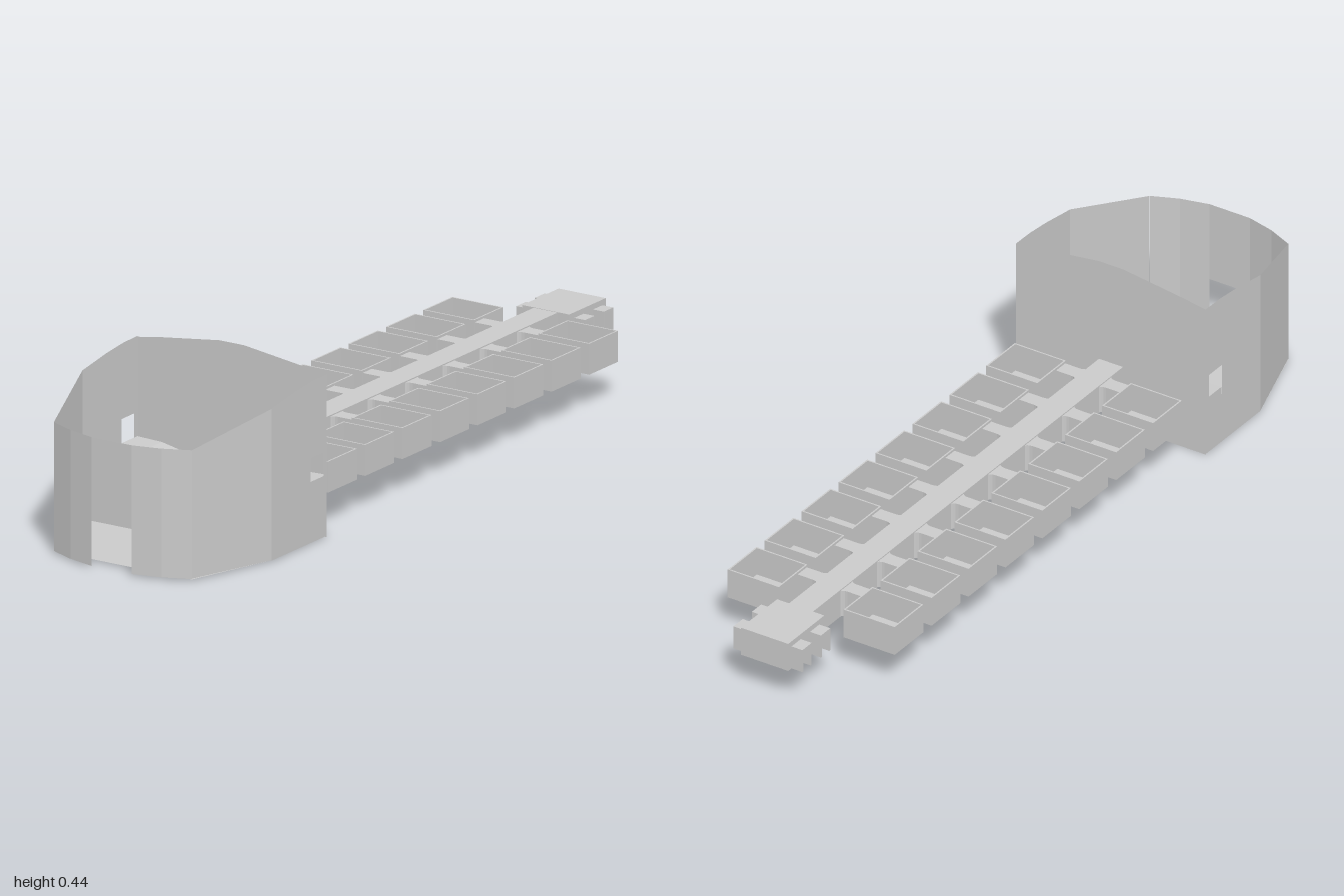
import * as THREE from 'three';

const mat = new THREE.MeshStandardMaterial({ color: 0xcccccc, side: THREE.DoubleSide, flatShading: true });

function add(parent, name, geo, x = 0, y = 0, z = 0) {
  const m = new THREE.Mesh(geo, mat);
  m.name = name;
  m.position.set(x, y, z);
  parent.add(m);
  return m;
}

// box given by its min and max corners
function box(parent, name, x0, x1, y0, y1, z0, z1) {
  return add(parent, name, new THREE.BoxGeometry(x1 - x0, y1 - y0, z1 - z0),
    (x0 + x1) / 2, (y0 + y1) / 2, (z0 + z1) / 2);
}

const shapeOf = pts => new THREE.Shape(pts.map(p => new THREE.Vector2(...p)));

// upright thin panel standing on the plan line a -> b ([x, z]); u runs along it, v is height
function panel(parent, name, a, b, pts, holes = []) {
  const s = shapeOf(pts);
  holes.forEach(h => s.holes.push(new THREE.Path(h.map(p => new THREE.Vector2(...p)))));
  const dir = new THREE.Vector3(b[0] - a[0], 0, b[1] - a[1]).normalize();
  const up = new THREE.Vector3(0, 1, 0);
  const basis = new THREE.Matrix4().makeBasis(dir, up, dir.clone().cross(up)).setPosition(a[0], 0, a[1]);
  add(parent, name, new THREE.ShapeGeometry(s).applyMatrix4(basis));
}

function buildBin() {
  const bin = new THREE.Group();
  bin.name = 'bin';
  const zb = 0.487;

  // back wall with a low peak and a tunnel mouth
  panel(bin, 'backWall', [0, zb], [1, zb], [
    [-0.27, 0], [-0.05, 0], [-0.045, 0.09], [0.045, 0.09], [0.05, 0], [0.27, 0],
    [0.27, 0.402], [0.21, 0.412], [0.035, 0.435], [-0.035, 0.435], [-0.21, 0.412], [-0.27, 0.402]]);

  // side walls, each with a window and an angled front half
  for (const s of [-1, 1]) {
    const len = Math.hypot(0.07, 0.23);
    panel(bin, 'sideWall', [s * 0.27, zb], [s * 0.27, 1],
      [[0, 0.003], [0.233, 0.003], [0.233, 0.38], [0.13, 0.396], [0.06, 0.403], [0, 0.404]],
      [[[0.013, 0.135], [0.068, 0.135], [0.068, 0.215], [0.013, 0.215]]]);
    panel(bin, 'angledWall', [s * 0.27, 0.72], [s * 0.197, 0.95],
      [[0, 0.004], [len, 0.006], [len, 0.325], [0, 0.38]]);
  }

  // bowed front wall with a doorway in the middle
  const bow = [[-0.197, 0.95], [-0.13, 0.979], [-0.057, 0.997], [0.057, 0.997], [0.13, 0.979], [0.197, 0.95]];
  for (let i = 0; i < 5; i++) {
    const [a, b] = [bow[i], bow[i + 1]];
    const len = Math.hypot(b[0] - a[0], b[1] - a[1]);
    const low = i === 2 ? 0.117 : 0.005;
    panel(bin, 'frontWall', a, b, [[0, low], [len, low], [len, 0.325], [0, 0.325]]);
  }

  // floor, notched where the tunnel rises
  const floor = shapeOf([[-0.27, zb], [-0.05, zb], [-0.052, 0.72], [0.052, 0.72], [0.05, zb], [0.27, zb],
    [0.27, 0.72], [0.197, 0.95], [-0.197, 0.95], [-0.27, 0.72]]);
  add(bin, 'floor', new THREE.ShapeGeometry(floor).rotateX(Math.PI / 2), 0, 0.004, 0);

  // tunnel cover sloping down to the floor
  const rings = [[zb, 0.05, 0.045, 0.09], [0.56, 0.05, 0.045, 0.09], [0.72, 0.052, 0.052, 0.005]]
    .map(([z, wb, wt, h]) => [[-wb, 0.004, z], [-wt, h, z], [wt, h, z], [wb, 0.004, z]]);
  const pos = [];
  for (let i = 0; i < 2; i++) for (let j = 0; j < 3; j++) {
    const [a, b, c, d] = [rings[i][j], rings[i][j + 1], rings[i + 1][j + 1], rings[i + 1][j]];
    pos.push(...a, ...c, ...b, ...a, ...d, ...c);
  }
  const cover = new THREE.BufferGeometry();
  cover.setAttribute('position', new THREE.Float32BufferAttribute(pos, 3));
  cover.computeVertexNormals();
  add(bin, 'tunnelCover', cover);

  // sagging strap running from window to window
  const half = [[0.27, 0.155], [0.2, 0.153], [0.15, 0.143], [0.1, 0.126], [0.057, 0.112], [0.04, 0.108]];
  const top = [...half, ...half.map(([x, y]) => [-x, y]).reverse()];
  const under = top.map(([x, y]) => [x, y - 0.02]).reverse();
  add(bin, 'strap', new THREE.ExtrudeGeometry(shapeOf([...top, ...under]),
    { depth: 0.067, bevelEnabled: false }), 0, 0, zb);
  return bin;
}

// open-topped tray with thin walls
function buildTray(x0, x1, z0, z1) {
  const g = new THREE.Group(), t = 0.004, y0 = 0.09, y1 = 0.167;
  g.name = 'tray';
  box(g, 'trayFloor', x0, x1, y0, y0 + t, z0, z1);
  box(g, 'trayWall', x0, x0 + t, y0, y1, z0, z1);
  box(g, 'trayWall', x1 - t, x1, y0, y1, z0, z1);
  box(g, 'trayWall', x0, x1, y0, y1, z0, z0 + t);
  box(g, 'trayWall', x0, x1, y0, y1, z1 - t, z1);
  return g;
}

export function createModel() {
  const model = new THREE.Group();
  model.add(buildBin());

  // eight pairs of trays on arms with filleted roots
  const trays = new THREE.Group();
  trays.name = 'trays';
  model.add(trays);
  const r = 0.016;
  for (let i = 0; i < 8; i++) {
    const z0 = -0.8 + i * 0.1585, z1 = z0 + 0.123;
    for (const s of [-1, 1]) {
      trays.add(buildTray(s > 0 ? 0.092 : -0.237, s > 0 ? 0.237 : -0.092, z0, z1));
      const a = z1 - 0.042, b = z1 - 0.003;
      const arm = new THREE.Shape();
      arm.moveTo(s * 0.03, a - r);
      arm.quadraticCurveTo(s * 0.034, a, s * (0.034 + r), a);
      arm.lineTo(s * 0.093, a);
      arm.lineTo(s * 0.093, b);
      arm.lineTo(s * (0.034 + r), b);
      arm.quadraticCurveTo(s * 0.034, b, s * 0.03, b + r);
      const geo = new THREE.ExtrudeGeometry(arm, { depth: 0.07, bevelEnabled: false, curveSegments: 4 });
      add(trays, 'arm', geo.rotateX(Math.PI / 2), 0, 0.161, 0);
    }
  }
  box(model, 'spine', -0.034, 0.034, 0.09, 0.164, -0.85, 0.49);

  // end block with two cross channels that stick out at the sides
  const end = new THREE.Group();
  end.name = 'endBlock';
  model.add(end);
  box(end, 'blockTop', -0.067, 0.067, 0.15, 0.165, -1, -0.845);
  for (const [a, b] of [[-1, -0.982], [-0.95, -0.902], [-0.871, -0.845]])
    box(end, 'blockLeg', -0.067, 0.067, 0.09, 0.15, a, b);
  for (const z of [-0.966, -0.8865]) {
    box(end, 'channelTop', -0.098, 0.098, 0.146, 0.151, z - 0.02, z + 0.02);
    for (const s of [-1, 1])
      box(end, 'channelWall', -0.098, 0.098, 0.09, 0.15, z + s * 0.018 - 0.002, z + s * 0.018 + 0.002);
  }
  return model;
}
